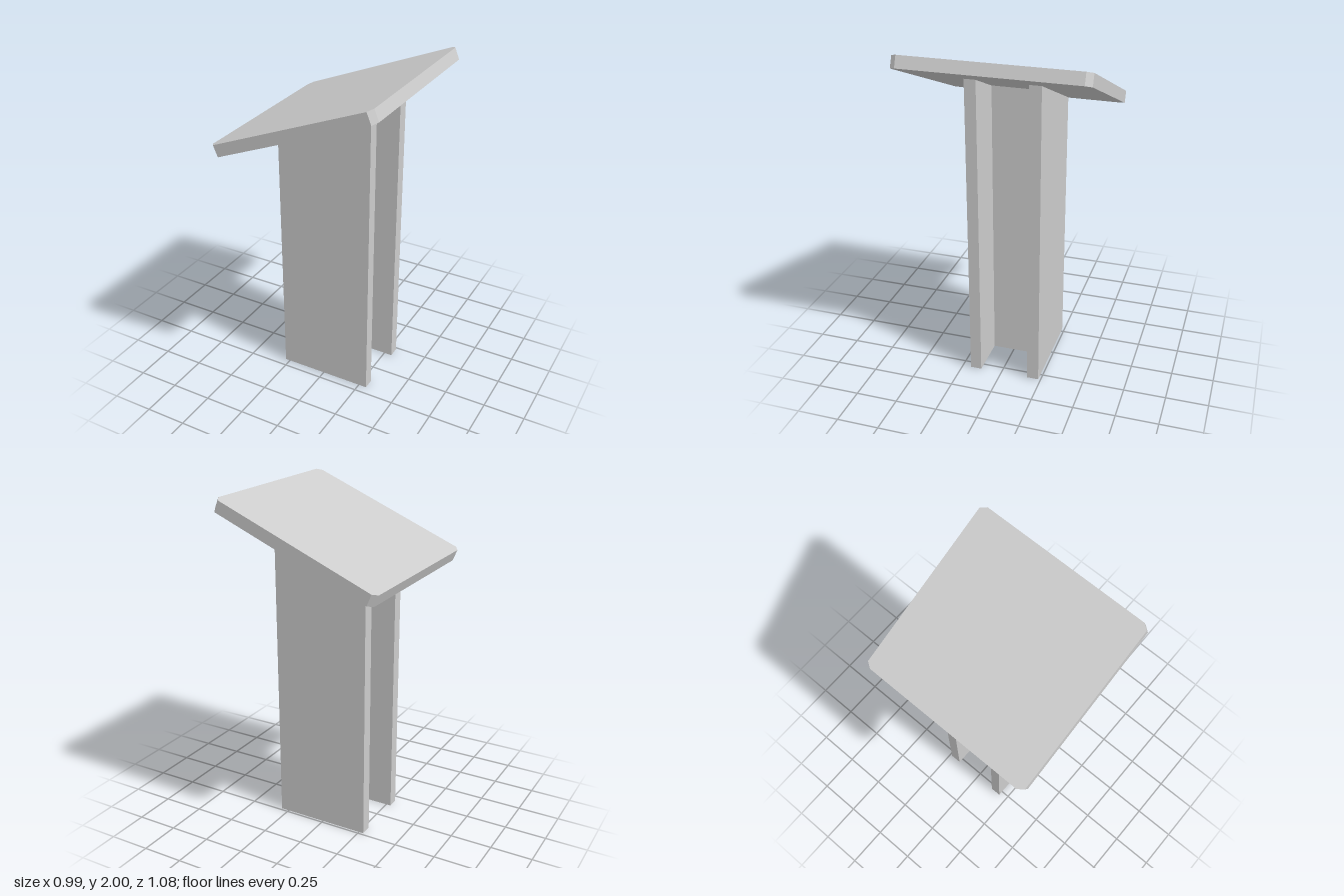
import * as THREE from 'three';

const material = new THREE.MeshStandardMaterial({ color: 0xcccccc, flatShading: true });

// Outline in the x-y plane, extruded from z0 to z1
function plate(name, points, z0, z1) {
  const shape = new THREE.Shape(points.map(([x, y]) => new THREE.Vector2(x, y)));
  const geometry = new THREE.ExtrudeGeometry(shape, { depth: z1 - z0, bevelEnabled: false });
  geometry.translate(0, 0, z0);
  const mesh = new THREE.Mesh(geometry, material);
  mesh.name = name;
  return mesh;
}

// Sloping cut along the top of the stand
const slopeY = (x) => 1.605 + (x + 0.28) * 0.422;
const upright = (x0, x1) => [[x0, 0], [x1, 0], [x1, slopeY(x1)], [x0, slopeY(x0)]];

export function createModel() {
  const group = new THREE.Group();
  group.name = 'lectern';

  // H-shaped stand: two side panels joined by a web
  group.add(plate('frontPanel', upright(-0.28, 0.3), 0.13, 0.197));
  group.add(plate('backPanel', upright(-0.28, 0.3), -0.235, -0.165));
  group.add(plate('centerWeb', upright(-0.03, 0.04), -0.165, 0.13));

  // Tilted desktop with clipped corners
  const a = 0.522, b = 0.54, ca = 0.026, cb = 0.035, thick = 0.071;
  const top = plate('desktop', [
    [-a + ca, -b], [a - ca, -b], [a, -b + cb], [a, b - cb],
    [a - ca, b], [-a + ca, b], [-a, b - cb], [-a, -b + cb],
  ], -thick / 2, thick / 2);
  top.geometry.rotateX(-Math.PI / 2);
  top.rotation.z = Math.atan2(0.395, 0.965);
  top.position.set(-0.001, 1.769, 0);
  group.add(top);

  return group;
}
